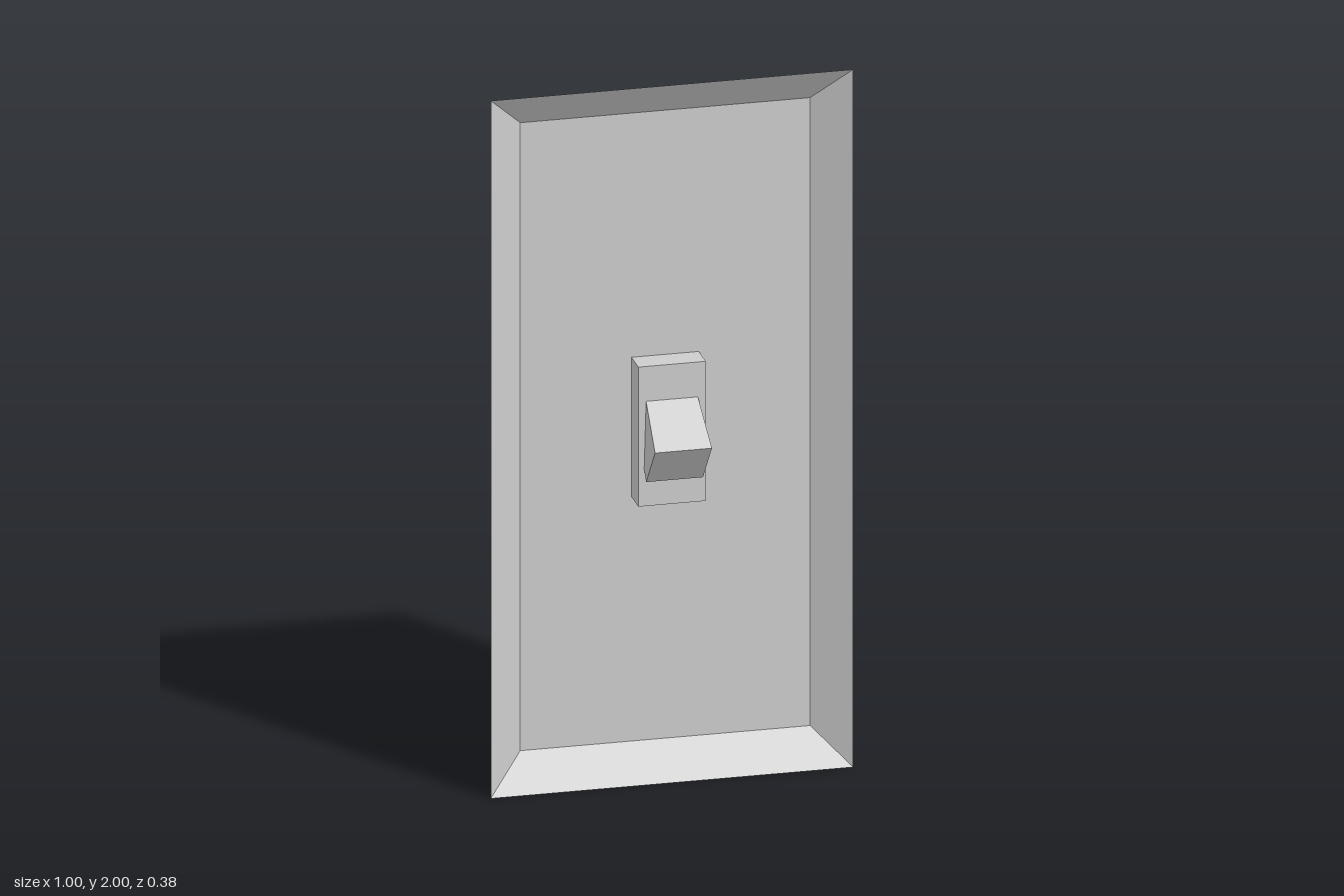
import * as THREE from 'three';

const plastic = new THREE.MeshStandardMaterial({ color: 0xcccccc, side: THREE.DoubleSide });
plastic.name = 'light grey plastic';

// Four flat walls joining two centred rectangles [width, height, z]
function walls(a, b) {
  const corners = ([w, h, z]) =>
    [[-1, -1], [1, -1], [1, 1], [-1, 1]].map(([x, y]) => [x * w / 2, y * h / 2, z]);
  const p = corners(a), q = corners(b), pos = [];
  for (let i = 0; i < 4; i++) {
    const j = (i + 1) % 4;
    pos.push(...p[i], ...p[j], ...q[j], ...p[i], ...q[j], ...q[i]);
  }
  const g = new THREE.BufferGeometry();
  g.setAttribute('position', new THREE.Float32BufferAttribute(pos, 3));
  g.computeVertexNormals();
  return g;
}

function rectangle(Type, w, h) {
  const r = new Type();
  r.moveTo(-w / 2, -h / 2);
  r.lineTo(w / 2, -h / 2);
  r.lineTo(w / 2, h / 2);
  r.lineTo(-w / 2, h / 2);
  r.closePath();
  return r;
}

function add(parent, name, geometry) {
  const mesh = new THREE.Mesh(geometry, plastic);
  mesh.name = name;
  parent.add(mesh);
  return mesh;
}

export function createModel() {
  const model = new THREE.Group();
  model.name = 'toggleSwitch';
  const face = -0.016, rim = 0.061, slotW = 0.186, slotH = 0.4;

  // Hollow wall plate: flat face with a slot, and sloping borders
  const plate = new THREE.Group();
  plate.name = 'wallPlate';
  plate.position.y = 1;
  const outline = rectangle(THREE.Shape, 0.8, 1.8);
  outline.holes.push(rectangle(THREE.Path, slotW, slotH));
  const panel = new THREE.ShapeGeometry(outline).rotateY(Math.PI).translate(0, 0, face);
  add(plate, 'plateFace', panel);
  add(plate, 'plateBevel', walls([0.8, 1.8, face], [1, 2, rim]));

  // Recessed slot with a closed floor
  add(plate, 'slotWalls', walls([slotW, slotH, face], [slotW, slotH, rim]));
  add(plate, 'slotFloor', new THREE.PlaneGeometry(slotW, slotH).translate(0, 0, rim));
  model.add(plate);

  // Tapered lever, tilted upwards through the slot floor
  const lever = new THREE.Group();
  lever.name = 'lever';
  const base = 0.157, tip = 0.125, length = 0.376;
  add(lever, 'leverShaft', walls([base, base, 0], [tip, tip, length]));
  add(lever, 'leverBase', new THREE.PlaneGeometry(base, base).rotateY(Math.PI));

  // Softly domed tip
  const dome = new THREE.PlaneGeometry(tip, tip, 10, 10);
  const pos = dome.attributes.position;
  for (let i = 0; i < pos.count; i++) {
    const u = pos.getX(i) * 2 / tip, v = pos.getY(i) * 2 / tip;
    pos.setZ(i, length + 0.023 * (1 - u * u) * (1 - v * v));
  }
  dome.computeVertexNormals();
  add(lever, 'leverTip', dome);
  lever.position.set(0, 0.94, 0.1405);
  lever.rotation.x = Math.PI * (1 + 40 / 180);
  model.add(lever);

  return model;
}
